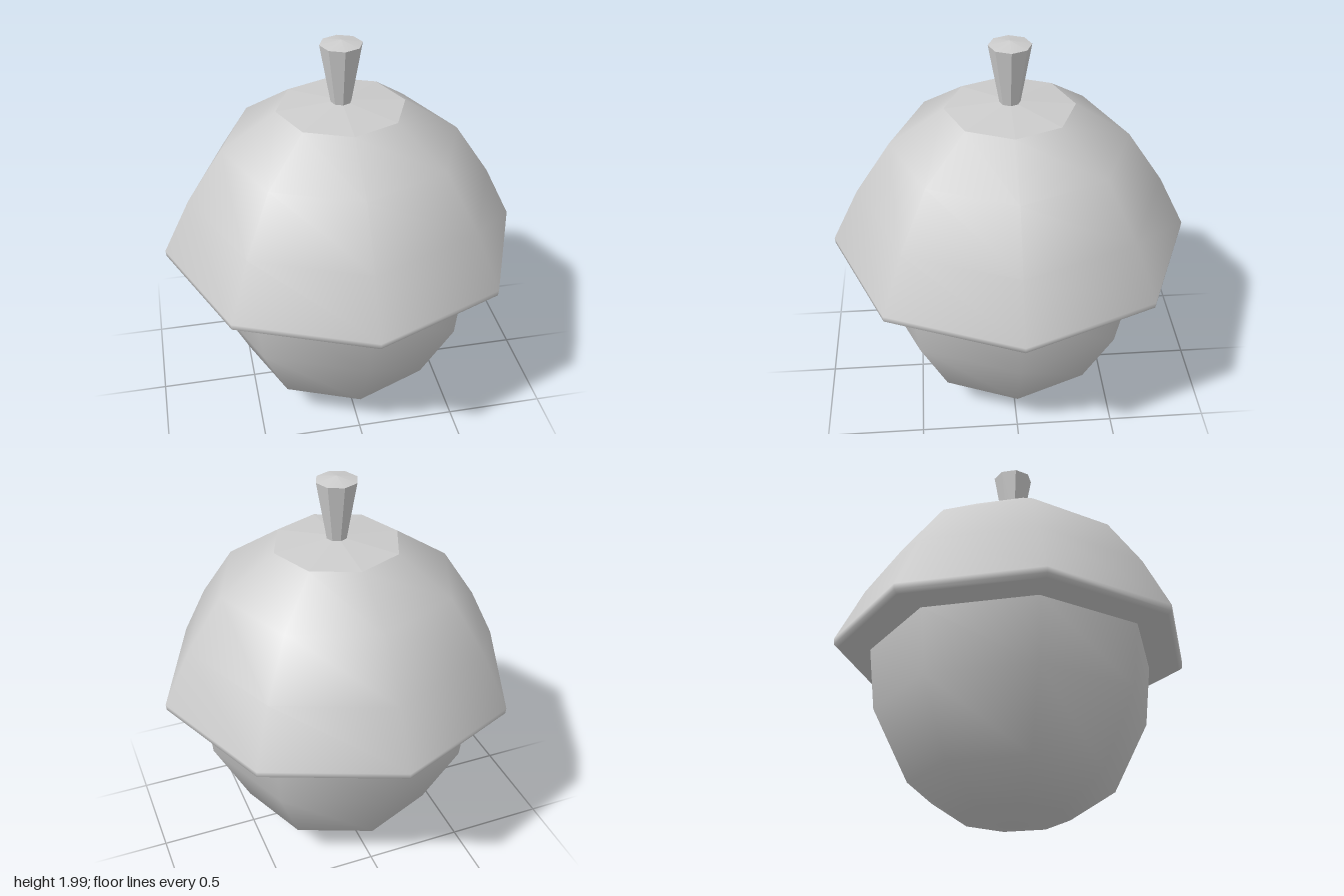
import * as THREE from 'three';

const SIDES = 8;

// Eight-sided turned part; profile runs from bottom to top as [radius, height]
function turned(name, profile, flatShading = false) {
  const points = profile.map(([r, y]) => new THREE.Vector2(r, y));
  const material = new THREE.MeshStandardMaterial({ color: 0xcccccc, flatShading });
  const mesh = new THREE.Mesh(new THREE.LatheGeometry(points, SIDES), material);
  mesh.name = name;
  return mesh;
}

export function createModel() {
  const acorn = new THREE.Group();
  acorn.name = 'acorn';

  // Rounded nut, running on up to the underside of the cap
  acorn.add(turned('nut', [[0, 0.01], [0.28, 0.06], [0.51, 0.21], [0.69, 0.57], [0.725, 0.89]]));

  // Domed cap with a thin overhanging rim
  acorn.add(turned('cap', [
    [0.72, 0.885], [0.885, 0.885], [0.905, 0.9], [0.908, 0.93],
    [0.77, 1.21], [0.59, 1.48], [0.318, 1.66],
  ]));

  // Shallow faceted crown closing the cap
  acorn.add(turned('capCrown', [[0.318, 1.66], [0, 1.692]], true));

  // Stem flaring upward, with a slightly raised end
  acorn.add(turned('stem', [[0.05, 1.68], [0.103, 1.98]], true));
  acorn.add(turned('stemEnd', [[0.103, 1.98], [0, 2]]));

  return acorn;
}
